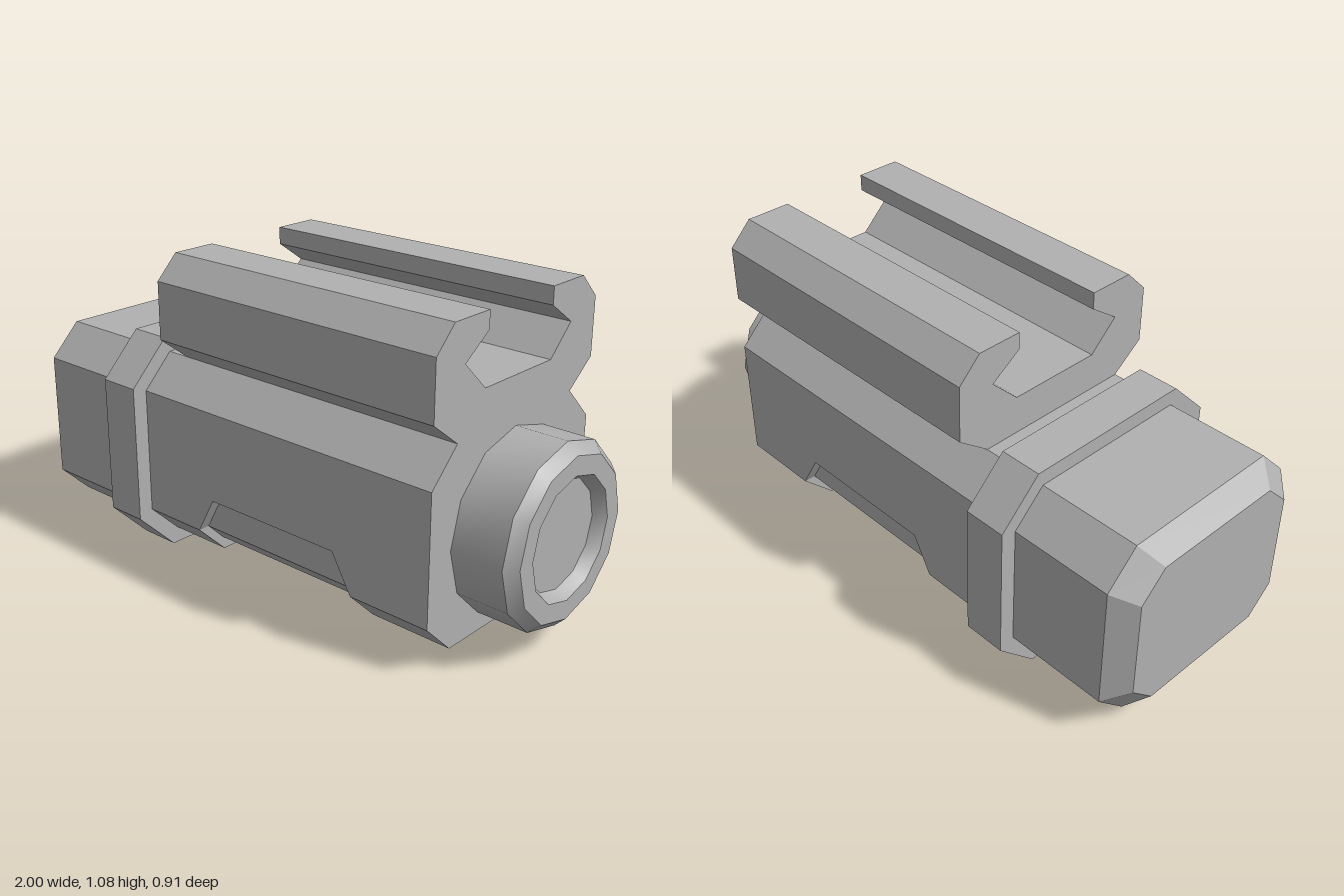
import * as THREE from 'three';
import { toCreasedNormals } from 'three/addons/utils/BufferGeometryUtils.js';

// Mirrored outline: half is a list of [z, y] from bottom to top on the +z side
function outline(half) {
  const left = half.map(([z, y]) => [-z, y]).reverse();
  return new THREE.Shape([...half, ...left].map(([z, y]) => new THREE.Vector2(z, y)));
}

// Extrude a z-y outline along x
function prism(half, x0, x1) {
  const g = new THREE.ExtrudeGeometry(outline(half), { depth: x1 - x0, bevelEnabled: false });
  g.rotateY(Math.PI / 2);
  g.translate(x0, 0, 0);
  return g;
}

export function createModel() {
  const model = new THREE.Group();
  const grey = new THREE.MeshStandardMaterial({ color: 0xb0b0b0 });
  grey.name = 'grey';

  const add = (name, geometry) => {
    const mesh = new THREE.Mesh(geometry, grey);
    mesh.name = name;
    model.add(mesh);
    return mesh;
  };

  const midY = 0.386;
  const upper = [[0.402, 0.605], [0.29, 0.717]];
  const bodyHalf = [[0.29, 0.057], [0.402, 0.167], ...upper];
  const notchHalf = [[0.293, 0.1], [0.36, 0.167], [0.36, 0.295], [0.402, 0.295], ...upper];

  // Housing in three lengths, the middle one recessed along its lower half
  add('rearBody', prism(bodyHalf, -0.93, -0.18));
  add('recessedBody', prism(notchHalf, -0.18, 0.49));
  add('frontBody', prism(bodyHalf, 0.49, 0.785));

  // Slanted corners of the side recesses
  for (const side of [-1, 1]) {
    for (const [xa, xb] of [[-0.18, -0.11], [0.49, 0.415]]) {
      const tri = new THREE.Shape([
        new THREE.Vector2(xa, 0.167), new THREE.Vector2(xb, 0.295), new THREE.Vector2(xa, 0.295),
      ]);
      const g = new THREE.ExtrudeGeometry(tri, { depth: 0.042, bevelEnabled: false });
      g.translate(0, 0, side > 0 ? 0.36 : -0.402);
      add('recessCorner', g);
    }
  }

  // Tapered rear cap
  const cap = prism(bodyHalf, -1, -0.93);
  const p = cap.attributes.position;
  for (let i = 0; i < p.count; i++) {
    if (p.getX(i) < -0.97) {
      p.setY(i, midY + (p.getY(i) - midY) * 0.8);
      p.setZ(i, p.getZ(i) * 0.83);
    }
  }
  cap.computeVertexNormals();
  add('rearCap', cap);

  // Raised band
  add('band', prism([[0.31, 0], [0.456, 0.146], [0.456, 0.624], [0.31, 0.77]], -0.57, -0.422));

  // Clamp rail with open channel on top
  add('clampRail', prism([
    [0.29, 0.717], [0.402, 0.803], [0.402, 1], [0.322, 1.08], [0.161, 1.08],
    [0.161, 1.021], [0.268, 0.947], [0.167, 0.85],
  ], -0.336, 0.785));

  // Twelve-sided nose with bevelled rim and shallow lens recess
  const profile = [
    [0.303, 0.78], [0.303, 0.964], [0.267, 1], [0.203, 1], [0.18, 0.96], [0, 0.96],
  ].map(([r, x]) => new THREE.Vector2(r, x));
  const nose = new THREE.LatheGeometry(profile, 12);
  nose.rotateZ(-Math.PI / 2);
  nose.translate(0, 0.384, 0);
  add('nose', toCreasedNormals(nose, 0.6));

  return model;
}
